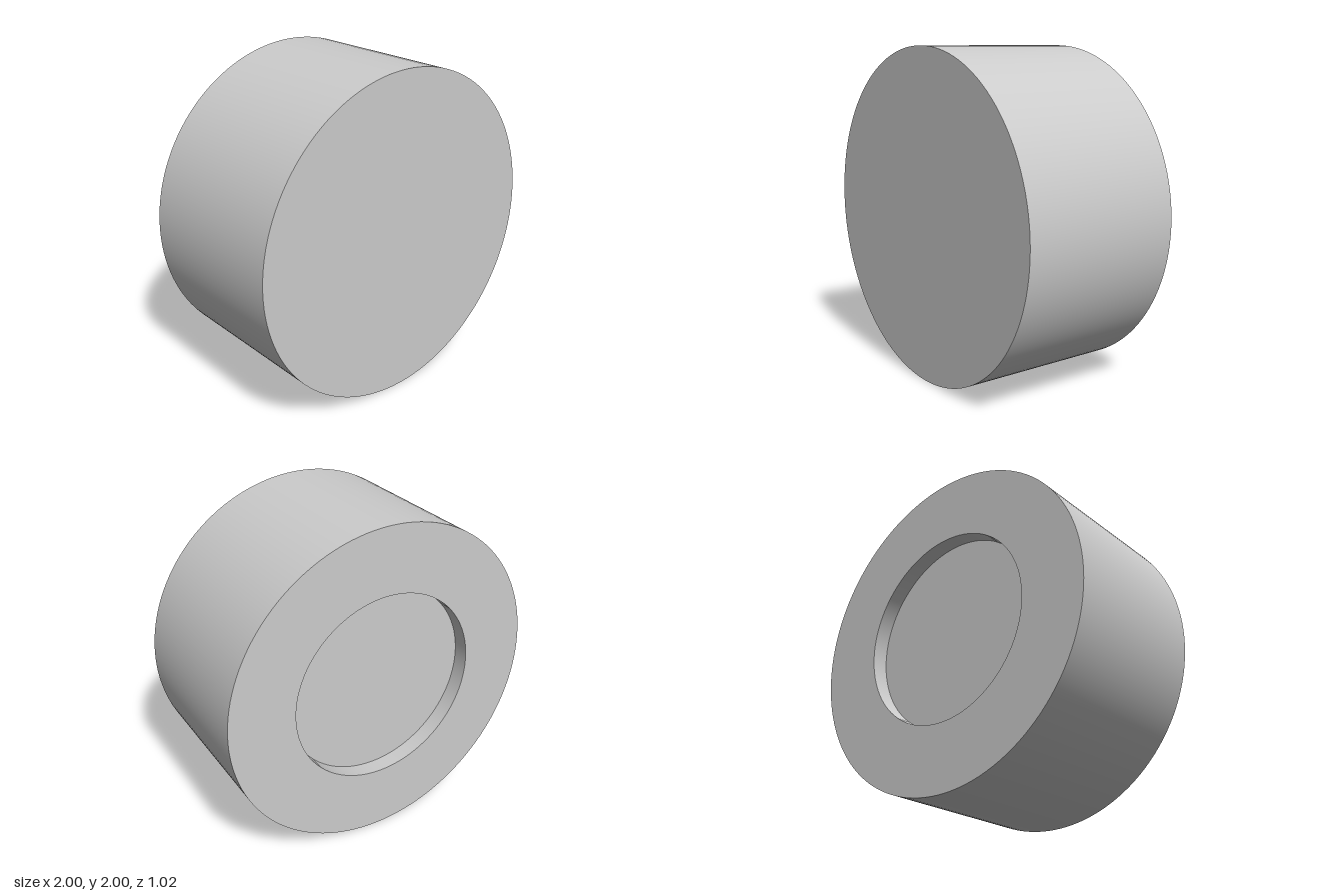
import * as THREE from 'three';
import { toCreasedNormals } from 'three/addons/utils/BufferGeometryUtils.js';

const RADIUS = 1;
const HALF_DEPTH = 0.51;
const RECESS_RADIUS = 0.59;
const RECESS_DEPTH = 0.1;

export function createModel() {
  const group = new THREE.Group();
  group.name = 'recessedDisc';

  // Half section from the recess floor at the back, round the rim, to the flat front
  const profile = [
    [0, -HALF_DEPTH + RECESS_DEPTH],
    [RECESS_RADIUS, -HALF_DEPTH + RECESS_DEPTH],
    [RECESS_RADIUS, -HALF_DEPTH],
    [RADIUS, -HALF_DEPTH],
    [RADIUS, HALF_DEPTH],
    [0, HALF_DEPTH],
  ].map(([r, y]) => new THREE.Vector2(r, y));

  // Smooth round the sides, sharp at the rims
  const geometry = toCreasedNormals(new THREE.LatheGeometry(profile, 128), 0.6);
  geometry.rotateX(Math.PI / 2); // turn the axis to face the front
  geometry.translate(0, RADIUS, 0);

  const disc = new THREE.Mesh(geometry, new THREE.MeshStandardMaterial({ color: 0xcccccc }));
  disc.name = 'discBody';
  group.add(disc);
  return group;
}
